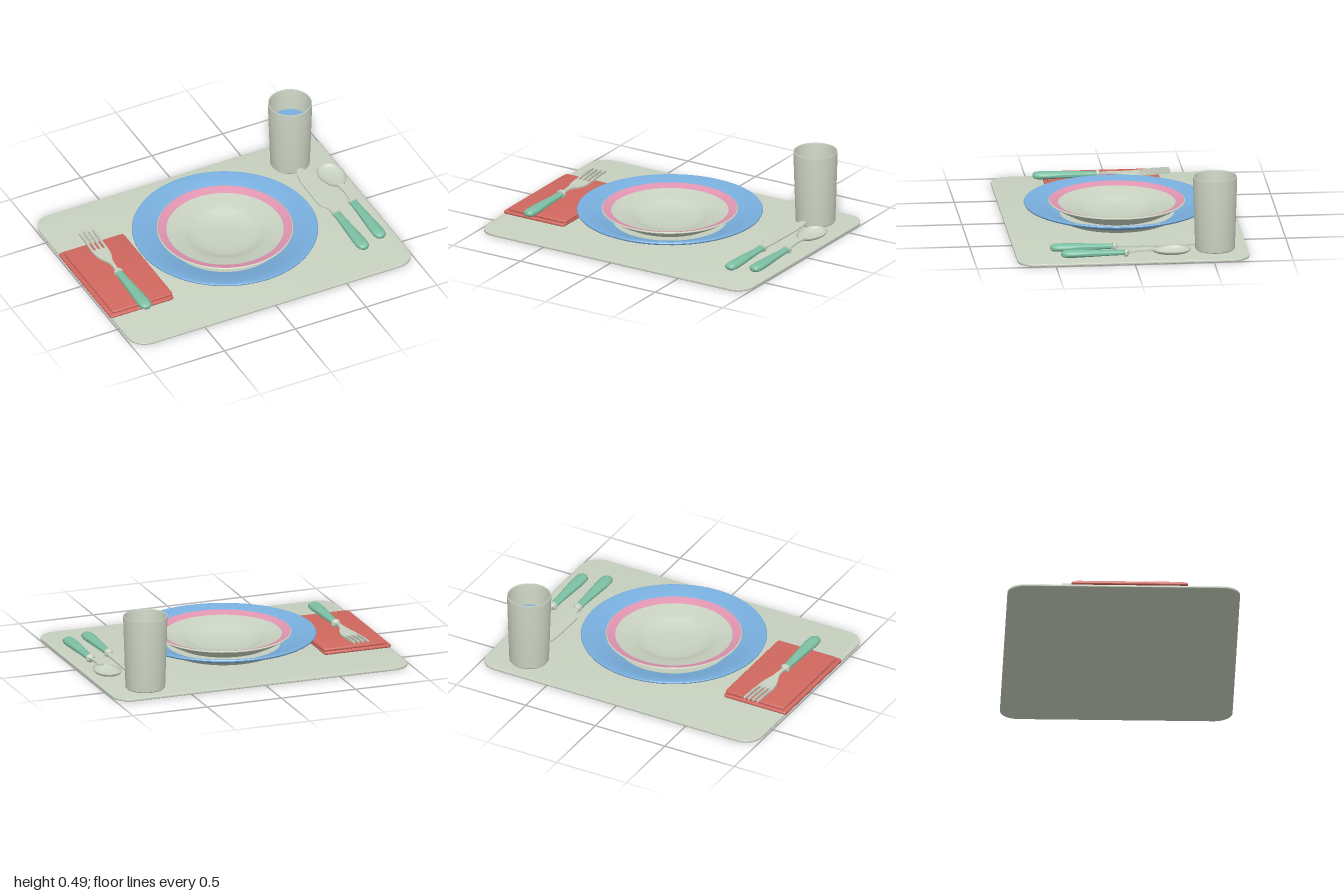
import * as THREE from 'three';
import { toCreasedNormals } from 'three/addons/utils/BufferGeometryUtils.js';

const mat = (name, color, side = THREE.FrontSide) => {
  const m = new THREE.MeshStandardMaterial({ color, side });
  m.name = name;
  return m;
};

export function createModel() {
  const pale = mat('pale ceramic', 0xc8d1c0, THREE.DoubleSide);
  const blue = mat('blue glaze', 0x78aedd);
  const pink = mat('pink glaze', 0xdf94b0);
  const red = mat('red cloth', 0xd0685f);
  const green = mat('green handle', 0x7cbfa3);

  const model = new THREE.Group();
  model.name = 'placeSetting';

  const add = (parent, name, geometry, material, x = 0, y = 0, z = 0) => {
    const mesh = new THREE.Mesh(geometry, material);
    mesh.name = name;
    mesh.position.set(x, y, z);
    parent.add(mesh);
    return mesh;
  };
  const group = (name, x = 0, y = 0, z = 0) => {
    const g = new THREE.Group();
    g.name = name;
    g.position.set(x, y, z);
    model.add(g);
    return g;
  };
  // Profile points run bottom, outside, top, inside
  const lathe = (points, segments = 64, crease = 0.6) => toCreasedNormals(
    new THREE.LatheGeometry(points.map(([r, y]) => new THREE.Vector2(r, y)), segments), crease);

  // Flat slab with rounded corners, lying on y = 0
  const slab = (w, d, h, r, bevel) => {
    const x = w / 2 - bevel, y = d / 2 - bevel, c = r - bevel;
    const s = new THREE.Shape();
    s.absarc(x - c, y - c, c, 0, Math.PI / 2);
    s.absarc(-x + c, y - c, c, Math.PI / 2, Math.PI);
    s.absarc(-x + c, -y + c, c, Math.PI, Math.PI * 1.5);
    s.absarc(x - c, -y + c, c, Math.PI * 1.5, Math.PI * 2);
    const g = new THREE.ExtrudeGeometry(s, {
      depth: h - 2 * bevel, bevelSize: bevel, bevelThickness: bevel, bevelSegments: 3, curveSegments: 10,
    });
    g.translate(0, 0, bevel).rotateX(-Math.PI / 2);
    return toCreasedNormals(g, 0.6);
  };

  // Placemat
  add(model, 'placemat', slab(1.985, 1.465, 0.015, 0.12, 0.003), pale, 0.003, 0, 0);

  // Folded napkin
  const napkin = group('napkin', 0, 0.015, 0.035);
  add(napkin, 'napkinLowerFold', slab(0.45, 0.735, 0.018, 0.02, 0.006), red, -0.775);
  add(napkin, 'napkinUpperFold', slab(0.425, 0.695, 0.018, 0.02, 0.006), red, -0.762, 0.017);

  // Dinner plate
  const plate = group('dinnerPlate', 0, 0, 0.02);
  add(plate, 'plateBase', lathe([[0, 0.017], [0.34, 0.017], [0.355, 0.023], [0.45, 0.066]]), pale);
  add(plate, 'plateRim', lathe([
    [0.45, 0.066], [0.57, 0.108], [0.583, 0.115], [0.587, 0.123], [0.583, 0.13], [0.572, 0.131],
    [0.46, 0.092], [0.36, 0.055],
  ]), blue);
  add(plate, 'plateWell', lathe([[0.36, 0.055], [0.33, 0.047], [0, 0.045]]), pale);

  // Soup bowl
  const bowl = group('soupBowl', 0, 0, 0.02);
  add(bowl, 'bowlOutside', lathe([
    [0, 0.046], [0.27, 0.046], [0.3, 0.056], [0.37, 0.092], [0.42, 0.124], [0.431, 0.13], [0.43, 0.134], [0.424, 0.138],
  ]), pale);
  add(bowl, 'bowlBand', lathe([[0.424, 0.138], [0.4, 0.131], [0.37, 0.121]]), pink);
  add(bowl, 'bowlInside', lathe([
    [0.37, 0.121], [0.32, 0.108], [0.265, 0.096], [0.24, 0.086], [0.21, 0.07], [0.17, 0.059], [0.1, 0.053], [0, 0.051],
  ]), pale);

  // Tumbler with drink
  const tumbler = group('tumbler', 0.737, 0.015, -0.53);
  add(tumbler, 'tumblerWall', lathe([
    [0, 0], [0.12, 0], [0.125, 0.006], [0.14, 0.468], [0.139, 0.475], [0.133, 0.475], [0.131, 0.468],
    [0.118, 0.02], [0, 0.02],
  ], 48), pale);
  add(tumbler, 'drink', lathe([[0.128, 0.325], [0, 0.325]], 48), blue);

  // Cutlery handle with collar; its front end sits at the local origin
  const handle = (parent, length) => {
    const k = length / 0.4;
    const grip = lathe([
      [0, 0], [0.026, 0], [0.03, 0.1 * k], [0.036, 0.2 * k], [0.041, 0.3 * k], [0.041, 0.35 * k],
      [0.037, 0.378 * k], [0.026, 0.393 * k], [0, 0.4 * k],
    ], 24, 0.9);
    grip.rotateX(Math.PI / 2).scale(1, 0.6, 1);
    add(parent, 'handleGrip', grip, green);
    const collar = lathe([
      [0, -0.034], [0.012, -0.034], [0.02, -0.024], [0.029, -0.02], [0.031, -0.012], [0.028, -0.004], [0, 0.002],
    ], 24, 0.9);
    collar.rotateX(Math.PI / 2).scale(1, 0.9, 1);
    add(parent, 'handleCollar', collar, pale);
  };

  // Thin metal outline pointing to -z, bent by a height rule
  const blade = (shape, depth, bend) => {
    const g = new THREE.ExtrudeGeometry(shape, { depth, bevelEnabled: false, curveSegments: 10 });
    g.translate(0, 0, -depth / 2).rotateX(-Math.PI / 2);
    const p = g.attributes.position;
    for (let i = 0; i < p.count; i++) p.setY(i, p.getY(i) + bend(p.getX(i), -p.getZ(i)));
    return toCreasedNormals(g, 0.6);
  };

  // Fork with four tines
  const fork = group('fork', -0.776, 0.081, 0.08);
  handle(fork, 0.4);
  const f = new THREE.Shape();
  f.moveTo(0.011, 0);
  f.lineTo(0.011, 0.07);
  f.bezierCurveTo(0.014, 0.17, 0.052, 0.16, 0.052, 0.27);
  for (let i = 0; i < 4; i++) {
    const r = 0.052 - i * 0.0307, l = r - 0.0125;
    f.lineTo(r, 0.38);
    f.lineTo(r - 0.001, 0.46);
    f.quadraticCurveTo((r + l) / 2, 0.478, l + 0.001, 0.46);
    f.lineTo(l, 0.38);
    f.lineTo(l, 0.28);
    if (i < 3) f.quadraticCurveTo(l - 0.009, 0.268, l - 0.0182, 0.28);
  }
  f.bezierCurveTo(-0.052, 0.16, -0.014, 0.17, -0.011, 0.07);
  f.lineTo(-0.011, 0);
  add(fork, 'forkHead', blade(f, 0.012, (x, s) =>
    0.014 * Math.sin(s * 5) - 0.018 * Math.sin(Math.min(Math.max((s - 0.1) / 0.3, 0), 1) * Math.PI)), pale);

  // Knife
  const knife = group('knife', 0.74, 0.05, 0.12);
  handle(knife, 0.395);
  const n = new THREE.Shape();
  n.moveTo(0.018, 0);
  n.lineTo(0.026, 0.1);
  n.lineTo(0.029, 0.3);
  n.bezierCurveTo(0.03, 0.42, 0.025, 0.515, 0.008, 0.522);
  n.bezierCurveTo(-0.04, 0.535, -0.06, 0.43, -0.06, 0.32);
  n.lineTo(-0.061, 0.14);
  n.bezierCurveTo(-0.06, 0.1, -0.026, 0.1, -0.025, 0.06);
  n.lineTo(-0.018, 0);
  add(knife, 'knifeBlade', blade(n, 0.01, () => 0), pale);

  // Spoon
  const spoon = group('spoon', 0.887, 0.05, 0.06);
  handle(spoon, 0.4);
  const t = new THREE.Shape();
  t.moveTo(0.013, 0);
  t.lineTo(0.011, 0.1);
  t.quadraticCurveTo(0.012, 0.16, 0.026, 0.2);
  t.lineTo(-0.026, 0.2);
  t.quadraticCurveTo(-0.012, 0.16, -0.011, 0.1);
  t.lineTo(-0.013, 0);
  add(spoon, 'spoonNeck', blade(t, 0.012, (x, s) => 0.012 * Math.sin(Math.min(s / 0.2, 1) * Math.PI / 2)), pale);
  const scoop = new THREE.SphereGeometry(1, 32, 10, 0, Math.PI * 2, Math.PI / 2, Math.PI / 2);
  const sp = scoop.attributes.position;
  for (let i = 0; i < sp.count; i++) sp.setX(i, sp.getX(i) * (1 - 0.15 * sp.getZ(i)));
  scoop.scale(0.085, 0.034, 0.125);
  scoop.computeVertexNormals();
  add(spoon, 'spoonBowl', scoop, pale, 0, 0.015, -0.298);

  return model;
}
